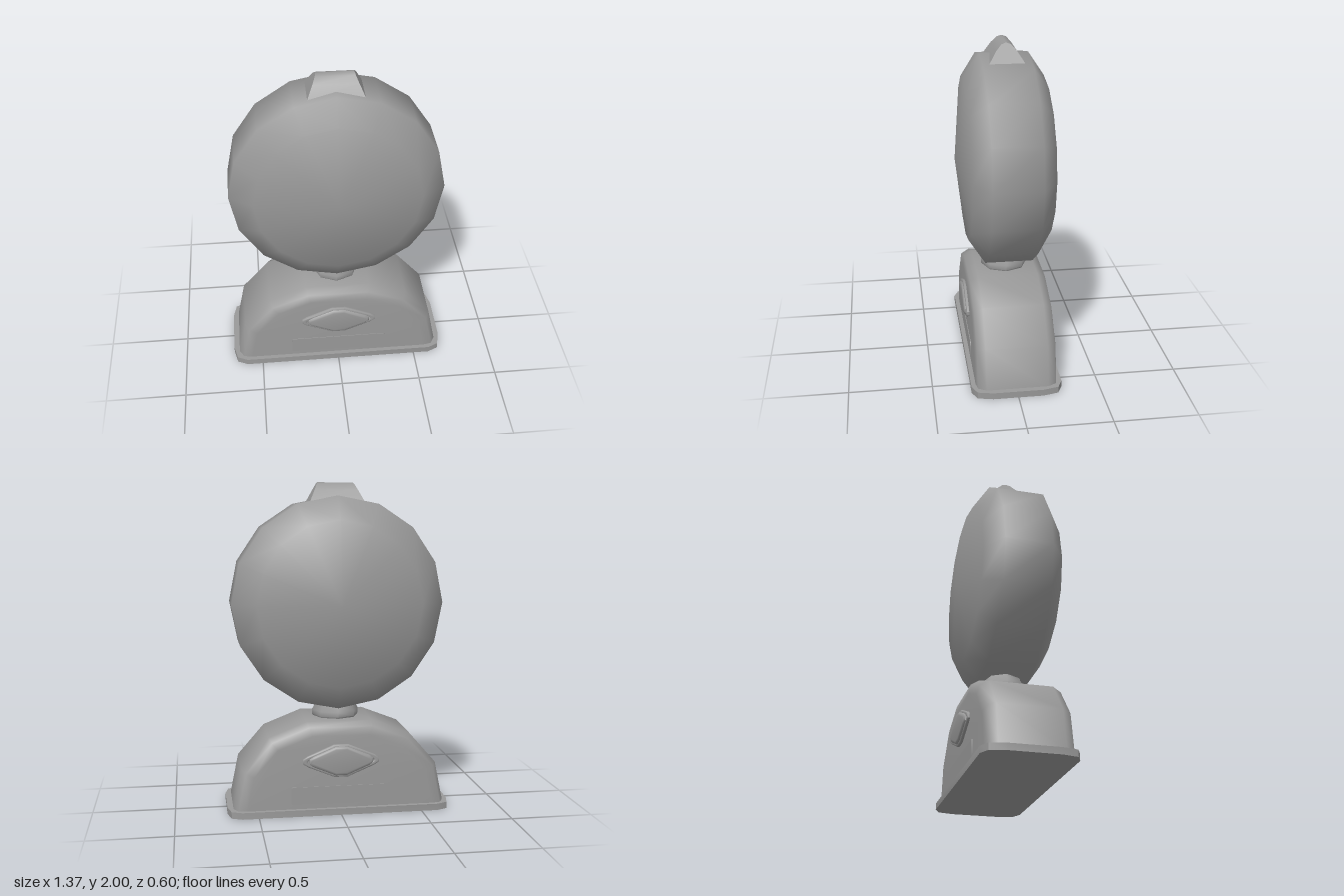
import * as THREE from 'three';
import { toCreasedNormals } from 'three/addons/utils/BufferGeometryUtils.js';

const material = new THREE.MeshStandardMaterial({ color: 0x999999 });

function part(name, geometry, crease = 0.6) {
  const mesh = new THREE.Mesh(toCreasedNormals(geometry, crease), material);
  mesh.name = name;
  return mesh;
}

const lathe = (pts, sides) =>
  new THREE.LatheGeometry(pts.map(([r, y]) => new THREE.Vector2(r, y)), sides);

const shapeOf = (pts) => new THREE.Shape(pts.map(([x, y]) => new THREE.Vector2(x, y)));

// mirrors a list of [x, y] points (x > 0) running upward into a counter-clockwise outline
const mirrored = (pts) => [...pts, ...[...pts].reverse().map(([x, y]) => [-x, y])];

// repeats an upper half outline, turned by half a turn
const turned = (pts) => [...pts, ...pts.map(([x, y]) => [-x, -y])];

// joins closed rings of equal length and caps both ends
function loft(rings, capOutline) {
  const n = rings[0].length, index = [];
  rings.slice(1).forEach((_, r) => {
    for (let i = 0; i < n; i++) {
      const a = r * n + i, b = r * n + (i + 1) % n;
      index.push(a, b, b + n, a, b + n, a + n);
    }
  });
  const last = (rings.length - 1) * n;
  const outline = capOutline.map(([x, y]) => new THREE.Vector2(x, y));
  for (const [a, b, c] of THREE.ShapeUtils.triangulateShape(outline, [])) {
    index.push(c, b, a, last + a, last + b, last + c);
  }
  const g = new THREE.BufferGeometry();
  g.setAttribute('position', new THREE.Float32BufferAttribute(rings.flat(2), 3));
  g.setIndex(index);
  return g;
}

export function createModel() {
  const model = new THREE.Group();

  // chamfered plinth
  const footprint = turned(mirrored([[0.685, 0.15], [0.664, 0.242], [0.6, 0.272]]));
  const plinth = new THREE.ExtrudeGeometry(shapeOf(footprint), { depth: 0.04, bevelEnabled: false });
  plinth.rotateX(-Math.PI / 2);
  model.add(part('plinth', plinth));

  // arched base, rounded toward its front and back faces
  const arch = mirrored([[0.652, 0.03], [0.6, 0.285], [0.435, 0.475], [0.2, 0.567]]);
  const steps = [[-0.245, 0.08], [-0.235, 0.028], [-0.185, 0], [0.185, 0], [0.235, 0.028], [0.245, 0.08]];
  const rings = steps.map(([z, inset]) => arch.map(([x, y]) => [
    x * (1 - inset / 0.652), 0.03 + (y - 0.03) * (1 - inset / 0.537), z]));
  model.add(part('base', loft(rings, arch), 1.2));

  // emblem and name plate on both faces
  const diamond = (s) => turned(mirrored([[0.248, 0.008], [0.222, 0.026], [0.045, 0.1]]))
    .map(([x, y]) => [x * s, y * s]);
  for (const side of [1, -1]) {
    const face = new THREE.Group();
    face.name = side > 0 ? 'frontDecoration' : 'backDecoration';
    face.rotation.y = side > 0 ? 0 : Math.PI;

    const rim = shapeOf(diamond(0.9));
    rim.holes.push(shapeOf(diamond(0.86)));
    const frame = part('emblemFrame', new THREE.ExtrudeGeometry(rim, {
      depth: 0.016, bevelThickness: 0.006, bevelSize: 0.01, bevelSegments: 2 }), 0.9);
    frame.position.set(0, 0.335, 0.24);

    const pillow = part('emblem', new THREE.ExtrudeGeometry(shapeOf(diamond(0.72)), {
      depth: 0.016, bevelThickness: 0.018, bevelSize: 0.018, bevelSegments: 3 }), 0.9);
    pillow.position.set(0, 0.335, 0.24);

    // thin plate with clipped corners
    const plateOutline = turned(mirrored([[0.303, 0.046], [0.3, 0.051], [0.295, 0.054]]));
    const plate = part('namePlate', new THREE.ExtrudeGeometry(shapeOf(plateOutline), {
      depth: 0.02, bevelEnabled: false }));
    plate.position.set(0, 0.122, 0.229);

    face.add(frame, pillow, plate);
    model.add(face);
  }

  // neck collar
  const neck = lathe([[0.13, 0.55], [0.145, 0.575], [0.145, 0.605], [0.125, 0.64], [0.115, 0.7]], 8);
  model.add(part('neck', neck, 0.9));

  // sixteen-sided disc with shallow domed faces
  const disc = lathe([[0, -0.3], [0.5, -0.24], [0.643, -0.145],
    [0.643, 0.145], [0.5, 0.24], [0, 0.3]], 16);
  disc.rotateX(Math.PI / 2).translate(0, 1.277, 0);
  model.add(part('disc', disc, 1.2));

  // top lug: a rounded ridge whose ends slope inward
  const ridge = mirrored([[0.105, 1.885], [0.06, 1.955], [0.028, 1.99]]);
  ridge.splice(3, 0, [0, 2]);
  const lug = new THREE.ExtrudeGeometry(shapeOf(ridge), { depth: 2, bevelEnabled: false });
  lug.translate(0, 0, -1).rotateY(Math.PI / 2);
  const p = lug.attributes.position;
  for (let i = 0; i < p.count; i++) {
    p.setX(i, Math.sign(p.getX(i)) * (0.165 - (p.getY(i) - 1.885) * 0.48));
  }
  model.add(part('topLug', lug, 0.8));

  return model;
}
